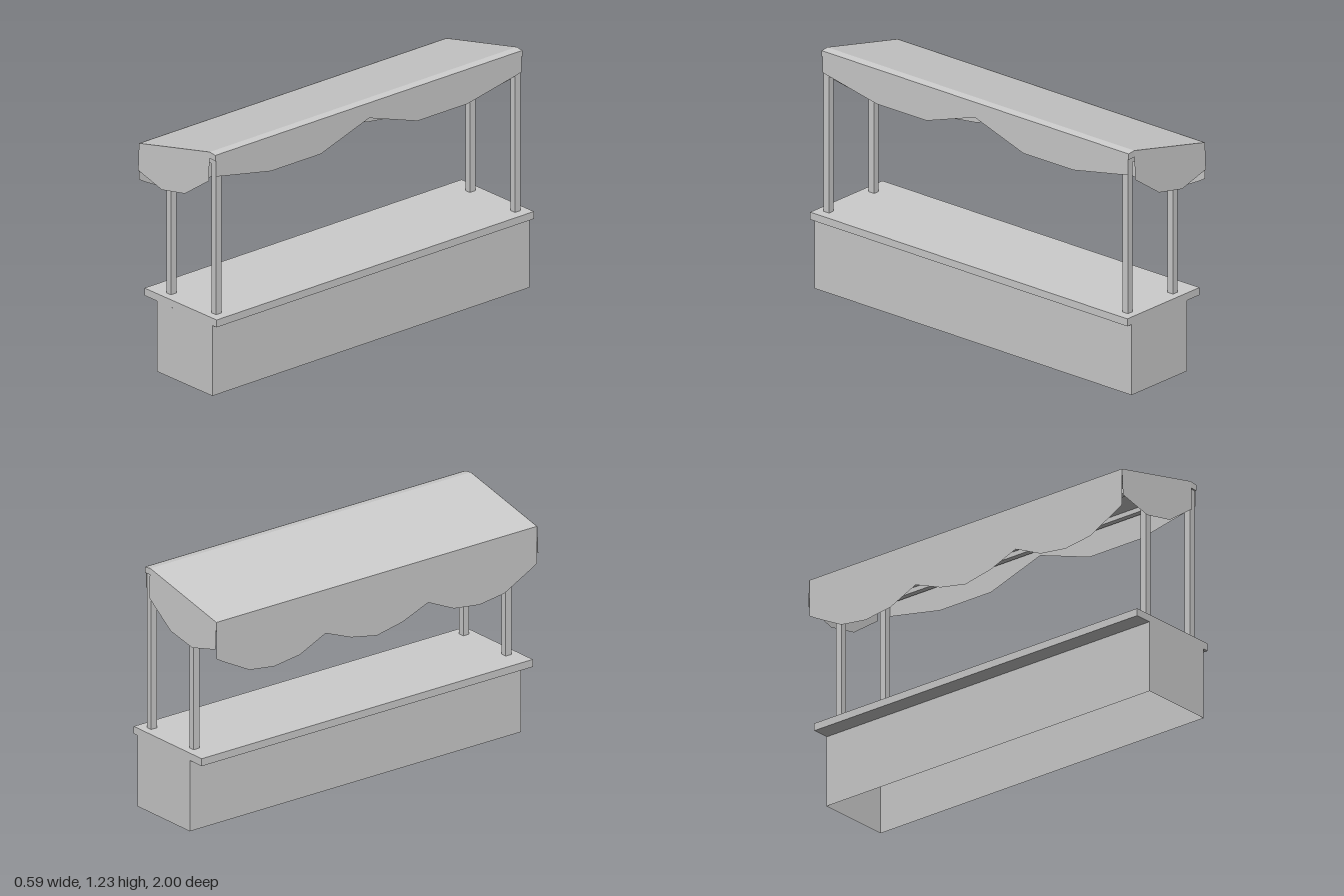
import * as THREE from 'three';

export function createModel() {
  const root = new THREE.Group();
  root.name = 'marketStall';
  const solid = new THREE.MeshStandardMaterial({ color: 0xcccccc, flatShading: true });
  const cloth = new THREE.MeshStandardMaterial({ color: 0xcccccc, flatShading: true, side: THREE.DoubleSide });

  const add = (name, geometry, material = solid) => {
    const mesh = new THREE.Mesh(geometry, material);
    mesh.name = name;
    root.add(mesh);
    return mesh;
  };
  // Box given by its lower and upper corners
  const box = (name, [x0, y0, z0], [x1, y1, z1]) => {
    const g = new THREE.BoxGeometry(x1 - x0, y1 - y0, z1 - z0);
    return add(name, g.translate((x0 + x1) / 2, (y0 + y1) / 2, (z0 + z1) / 2));
  };
  const toShape = (pts) => new THREE.Shape(pts.map(([x, y]) => new THREE.Vector2(x, y)));
  // Profile in x/y, swept along z
  const sweep = (name, pts, z0, z1) => {
    const g = new THREE.ExtrudeGeometry(toShape(pts), { depth: z1 - z0, bevelEnabled: false });
    return add(name, g.translate(0, 0, z0));
  };

  // Counter: four walls open at the bottom, with an overhanging top
  const walls = new THREE.BoxGeometry(0.397, 0.362, 2).translate(0.064, 0.181, 0);
  const index = Array.from(walls.index.array);
  walls.setIndex([...index.slice(0, 12), ...index.slice(24)]);
  walls.clearGroups();
  add('counterWalls', walls, cloth);
  box('counterTop', [-0.225, 0.362, -1], [0.293, 0.4, 1]);

  // Posts and sloping rafters at both ends
  for (const s of [-1, 1]) {
    const z0 = s > 0 ? 0.925 : -0.96, z1 = z0 + 0.035;
    box('tallPost', [0.21, 0.4, z0], [0.243, 1.218, z1]);
    box('shortPost', [-0.113, 0.4, z0], [-0.08, 1.12, z1]);
    sweep('rafter', [[-0.285, 1.055], [0.21, 1.167], [0.21, 1.196], [-0.285, 1.084]], z0 + 0.002, z1 - 0.002);
  }
  // Long beams between the posts
  box('rearBeam', [-0.113, 1.095, -0.925], [-0.08, 1.122, 0.925]);
  box('frontBeam', [0.212, 1.168, -0.925], [0.241, 1.192, 0.925]);

  // Sloping roof slab
  sweep('roof', [[-0.297, 1.08], [0.205, 1.194], [0.247, 1.192], [0.247, 1.222], [0.207, 1.227], [-0.297, 1.112]], -0.968, 0.968);

  // Long scalloped valances, mirrored about z = 0
  const longValance = (name, x, top, halfEdge) => {
    const left = halfEdge.slice(1).reverse().map(([z, y]) => [-z, y]);
    const end = halfEdge[halfEdge.length - 1][0];
    const g = new THREE.ShapeGeometry(toShape([...left, ...halfEdge, [end, top], [-end, top]]));
    add(name, g.rotateY(-Math.PI / 2).translate(x, 0, 0), cloth);
  };
  longValance('highValance', 0.249, 1.222,
    [[0, 1.145], [0.305, 1.045], [0.62, 1.045], [0.925, 1.105], [0.962, 1.113]]);
  longValance('lowValance', -0.299, 1.112,
    [[0, 0.8], [0.155, 0.83], [0.31, 0.89], [0.465, 0.82], [0.62, 0.8], [0.77, 0.82], [0.925, 0.9], [0.968, 0.925]]);

  // End valances, flaring outward as they hang
  for (const s of [-1, 1]) {
    const g = new THREE.ShapeGeometry(toShape(
      [[-0.299, 1.112], [-0.299, 0.975], [-0.125, 0.93], [0.04, 0.963], [0.208, 1.08], [0.208, 1.227]]));
    const p = g.attributes.position;
    for (let i = 0; i < p.count; i++) {
      const drop = 1.179 + 0.226 * p.getX(i) - p.getY(i);
      p.setZ(i, s * (0.969 + 0.04 * Math.max(0, drop)));
    }
    g.computeVertexNormals();
    add('endValance', g, cloth);
  }
  return root;
}
